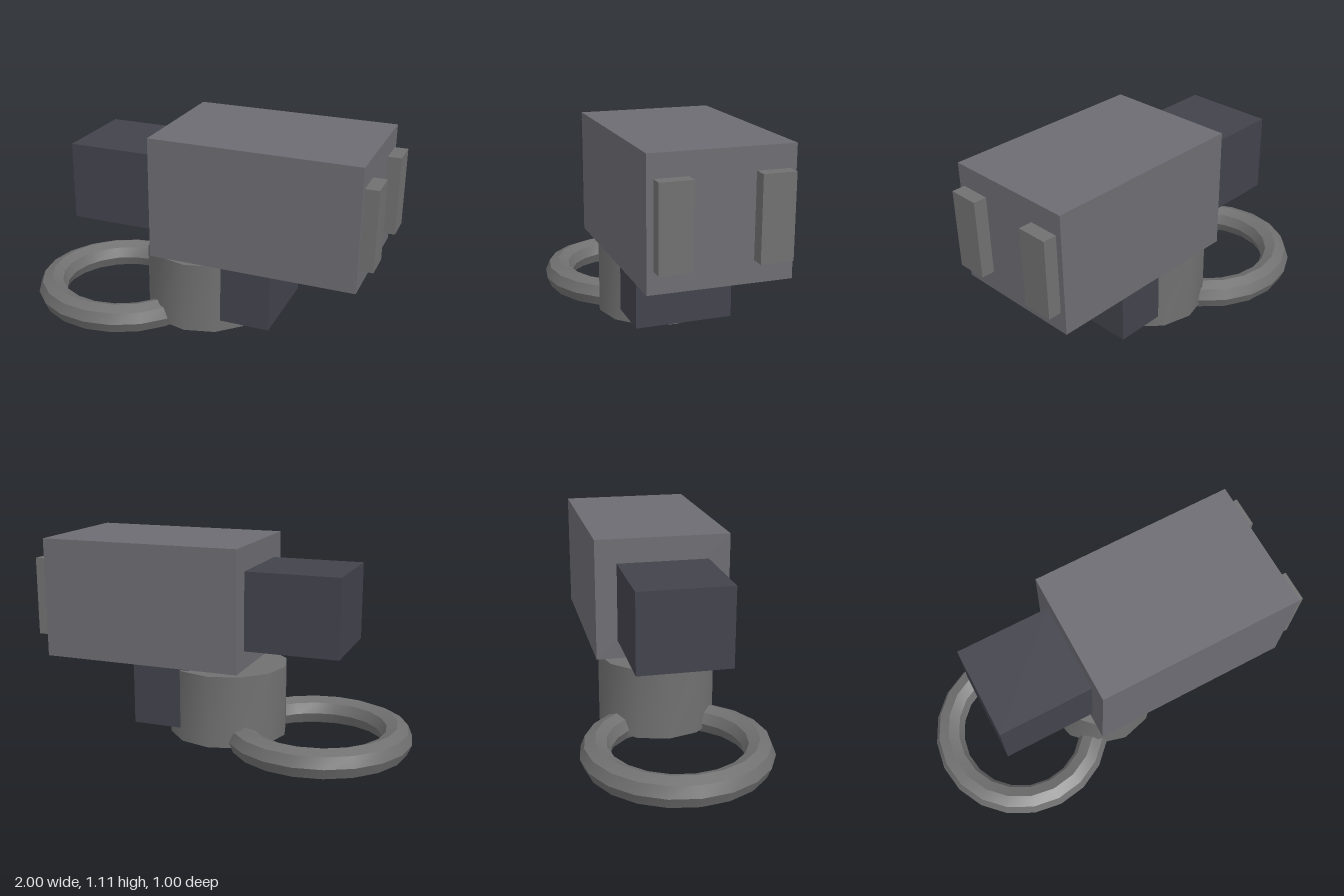
import * as THREE from 'three';
import { toCreasedNormals } from 'three/addons/utils/BufferGeometryUtils.js';

export function createModel() {
  const model = new THREE.Group();
  const bodyGrey = new THREE.MeshStandardMaterial({ color: 0x6c6c72 });
  const metal = new THREE.MeshStandardMaterial({ color: 0x707070 });
  const dark = new THREE.MeshStandardMaterial({ color: 0x42424c });

  function add(name, geometry, material, x, y, z) {
    const mesh = new THREE.Mesh(geometry, material);
    mesh.name = name;
    mesh.position.set(x, y, z);
    model.add(mesh);
    return mesh;
  }

  // Box given by its extents along each axis
  function addBox(name, material, [x0, x1], [y0, y1], [z0, z1]) {
    const geometry = new THREE.BoxGeometry(x1 - x0, y1 - y0, z1 - z0);
    return add(name, geometry, material, (x0 + x1) / 2, (y0 + y1) / 2, (z0 + z1) / 2);
  }

  // Main housing with the narrower block at its end
  addBox('housing', bodyGrey, [-0.16, 0.93], [0.473, 1.113], [-0.355, 0.355]);
  addBox('endBlock', dark, [-0.66, -0.16], [0.57, 0.985], [-0.242, 0.242]);

  // Pair of raised pads on the other end
  addBox('leftEndPad', metal, [0.93, 1], [0.583, 1], [0.16, 0.323]);
  addBox('rightEndPad', metal, [0.93, 1], [0.583, 1], [-0.323, -0.16]);

  // Connecting block between housing and hub
  addBox('connector', dark, [0.143, 0.465], [0.115, 0.473], [-0.257, 0.257]);

  // Twelve-sided hub
  const hub = new THREE.CylinderGeometry(0.322, 0.322, 0.387, 12);
  add('hub', toCreasedNormals(hub, Math.PI / 5), metal, 0.013, 0.245, 0);

  // Flat-lying ring: creased around the tube, smooth along it
  const ring = new THREE.TorusGeometry(0.419, 0.081, 8, 20).rotateX(-Math.PI / 2);
  add('ring', toCreasedNormals(ring, Math.PI / 5), metal, -0.5, 0.081, 0);

  return model;
}
